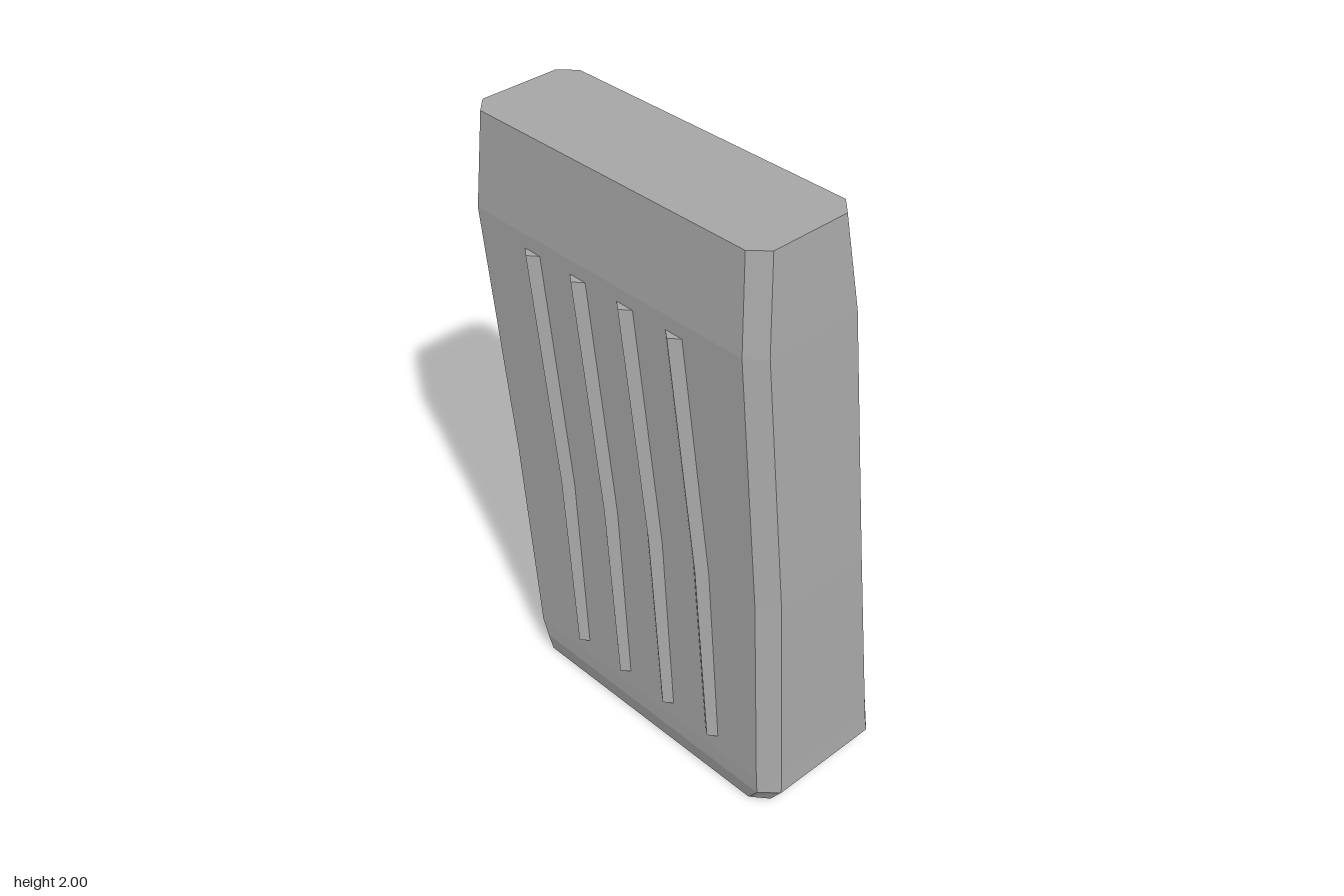
import * as THREE from 'three';

// Joins rings of [x, y, z] points, listed bottom to top and counter-clockwise from above
function loft(rings) {
  const pos = [];
  const tri = (a, b, c) => pos.push(...a, ...b, ...c);
  const n = rings[0].length;
  for (let r = 0; r < rings.length - 1; r++) {
    const lo = rings[r], hi = rings[r + 1];
    for (let i = 0; i < n; i++) {
      const j = (i + 1) % n;
      tri(lo[i], lo[j], hi[j]);
      tri(lo[i], hi[j], hi[i]);
    }
  }
  const bottom = rings[0], top = rings[rings.length - 1];
  for (let i = 1; i < n - 1; i++) {
    tri(bottom[0], bottom[i + 1], bottom[i]);
    tri(top[0], top[i], top[i + 1]);
  }
  const g = new THREE.BufferGeometry();
  g.setAttribute('position', new THREE.Float32BufferAttribute(pos, 3));
  g.computeVertexNormals();
  return g;
}

// Rectangle with cut corners
function bodyRing([y, xl, xr, z, zi]) {
  const c = 0.055;
  return [
    [xr, y, zi], [xr, y, -zi], [xr - c, y, -z], [xl + c, y, -z],
    [xl, y, -zi], [xl, y, zi], [xl + c, y, z], [xr - c, y, z],
  ];
}

export function createModel() {
  const model = new THREE.Group();
  model.name = 'curvedCase';
  const grey = new THREE.MeshStandardMaterial({ color: 0xa6a6a6 });
  grey.name = 'grey';

  // Body sections: height, left x, right x, half depth, half depth at the cut corner
  const sections = [
    [0, -0.435, 0.65, 0.245, 0.2],
    [0.07, -0.44, 0.7, 0.26, 0.205],
    [0.13, -0.465, 0.695, 0.26, 0.2],
    [0.82, -0.575, 0.643, 0.238, 0.18],
    [1.68, -0.707, 0.56, 0.235, 0.18],
    [2, -0.707, 0.528, 0.2, 0.147],
  ];
  const body = new THREE.Mesh(loft(sections.map(bodyRing)), grey);
  body.name = 'body';
  model.add(body);

  // Ridged ribs, following the bend of the body: height, ridge x, ridge z
  const ribPath = [
    [0.19, -0.19, 0.281],
    [0.83, -0.268, 0.265],
    [1.63, -0.392, 0.263],
  ];
  for (const side of [1, -1]) {
    for (let i = 0; i < 4; i++) {
      const dx = i * 0.208;
      const rings = ribPath.map(([y, x, z]) => {
        const ring = [
          [x + dx - 0.042, y, side * (z - 0.033)],
          [x + dx, y, side * z],
          [x + dx + 0.04, y, side * (z - 0.033)],
        ];
        return side > 0 ? ring : ring.reverse();
      });
      const rib = new THREE.Mesh(loft(rings), grey);
      rib.name = (side > 0 ? 'frontRib' : 'backRib') + (i + 1);
      model.add(rib);
    }
  }
  return model;
}
